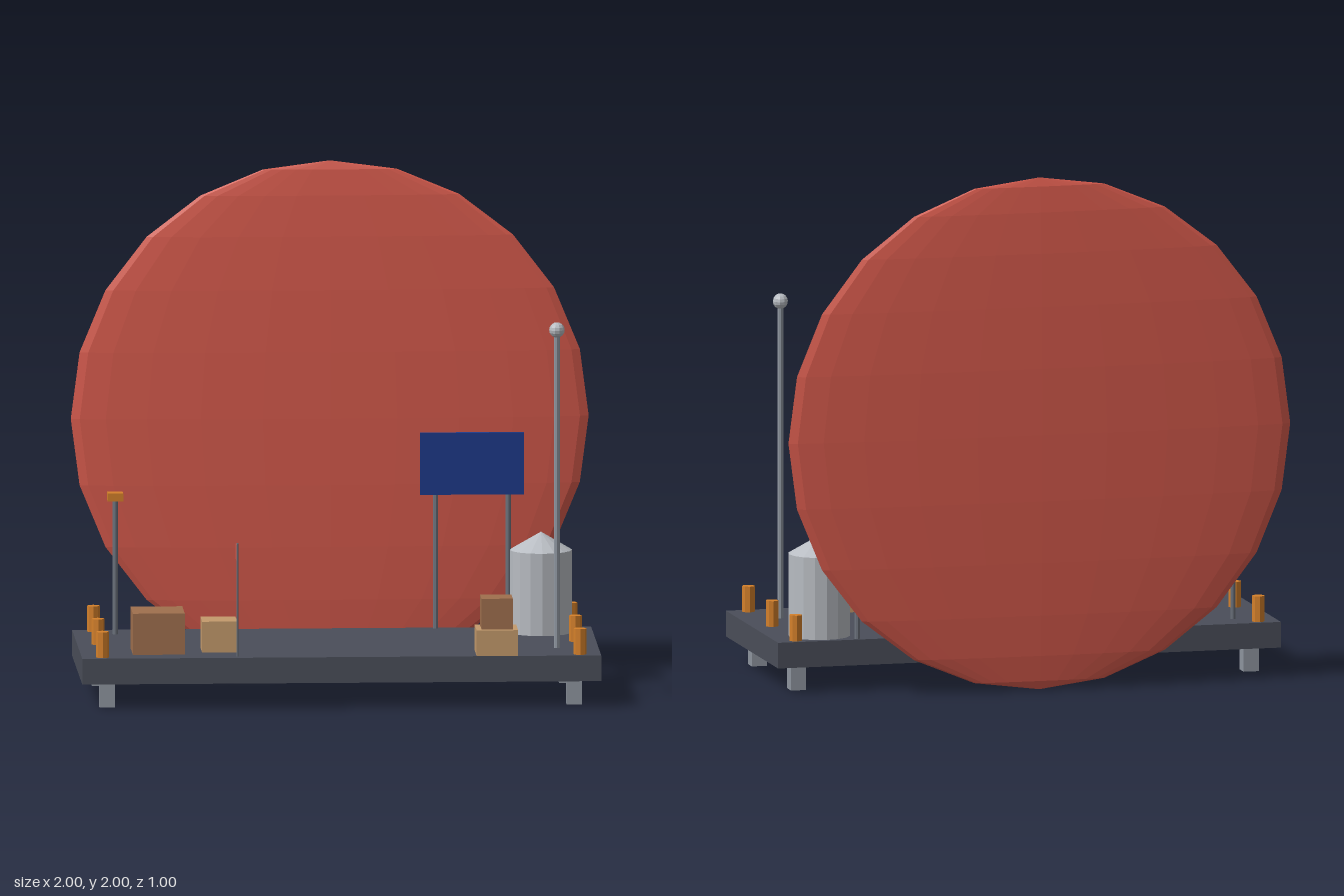
import * as THREE from 'three';

const paint = (name, color) => {
  const m = new THREE.MeshStandardMaterial({ color, flatShading: true });
  m.name = name;
  return m;
};

export function createModel() {
  const model = new THREE.Group();
  model.name = 'platform';
  const red = paint('red', 0xd65a4c);
  const slate = paint('slate', 0x4a4e59);
  const orange = paint('orange', 0xd4802a);
  const blue = paint('blue', 0x1e3a8a);
  const brown = paint('brown', 0xa0704e);
  const tan = paint('tan', 0xc49a6c);
  const silver = paint('silver', 0xb8bcc2);
  const grey = paint('grey', 0x8f96a0);
  const darkGrey = paint('darkGrey', 0x6b727c);

  const add = (name, geometry, material, x, y, z) => {
    const mesh = new THREE.Mesh(geometry, material);
    mesh.name = name;
    mesh.position.set(x, y, z);
    model.add(mesh);
    return mesh;
  };
  // Boxes and cylinders are placed by the centre of their base
  const box = (name, mat, w, h, d, x, y, z) =>
    add(name, new THREE.BoxGeometry(w, h, d), mat, x, y + h / 2, z);
  const rod = (name, mat, r, h, x, y, z, sides = 8) =>
    add(name, new THREE.CylinderGeometry(r, r, h, sides), mat, x, y + h / 2, z);

  // Deck and legs
  box('deck', slate, 2, 0.1, 0.8, 0, 0.1, 0.1);
  for (const x of [-0.9, 0.9]) {
    for (const z of [-0.2, 0.4]) box('leg', grey, 0.06, 0.1, 0.06, x, 0, z);
  }

  // Large flattened disc behind the deck
  const disc = add('backdropDisc', new THREE.SphereGeometry(0.998, 24, 12), red, 0, 1, -0.45);
  disc.scale.z = 0.05;

  // Bollards along both ends
  for (const x of [-0.92, 0.92]) {
    for (const z of [-0.26, 0.1, 0.46]) rod('bollard', orange, 0.025, 0.1, x, 0.2, z);
  }

  // Crates
  box('largeCrate', brown, 0.2, 0.16, 0.2, -0.7, 0.2, 0.3);
  box('smallCrate', tan, 0.135, 0.12, 0.14, -0.463, 0.2, 0.28);
  box('lowerCrate', tan, 0.16, 0.1, 0.16, 0.6, 0.2, 0.42);
  box('upperCrate', brown, 0.12, 0.12, 0.12, 0.6, 0.3, 0.42);

  // Storage tank with conical roof
  rod('tank', silver, 0.12, 0.32, 0.8, 0.2, -0.16, 16);
  add('tankRoof', new THREE.ConeGeometry(0.12, 0.07, 16), silver, 0.8, 0.555, -0.16);

  // Tall mast with ball
  rod('mast', grey, 0.012, 1.22, 0.84, 0.2, 0.28);
  add('mastBall', new THREE.SphereGeometry(0.03, 10, 8), silver, 0.84, 1.435, 0.28);

  // Sign board on two posts
  for (const x of [0.4, 0.68]) rod('signPost', darkGrey, 0.01, 0.52, x, 0.2, -0.28);
  box('signBoard', blue, 0.4, 0.24, 0.02, 0.54, 0.72, -0.28);

  // Lamp
  rod('lampPost', darkGrey, 0.01, 0.52, -0.84, 0.2, -0.18);
  box('lampHead', orange, 0.06, 0.03, 0.06, -0.84, 0.72, -0.18);

  // Small flag
  rod('flagPole', darkGrey, 0.005, 0.44, -0.4, 0.2, 0.46, 6);
  box('flag', red, 0.004, 0.06, 0.1, -0.4, 0.565, 0.41);

  return model;
}
